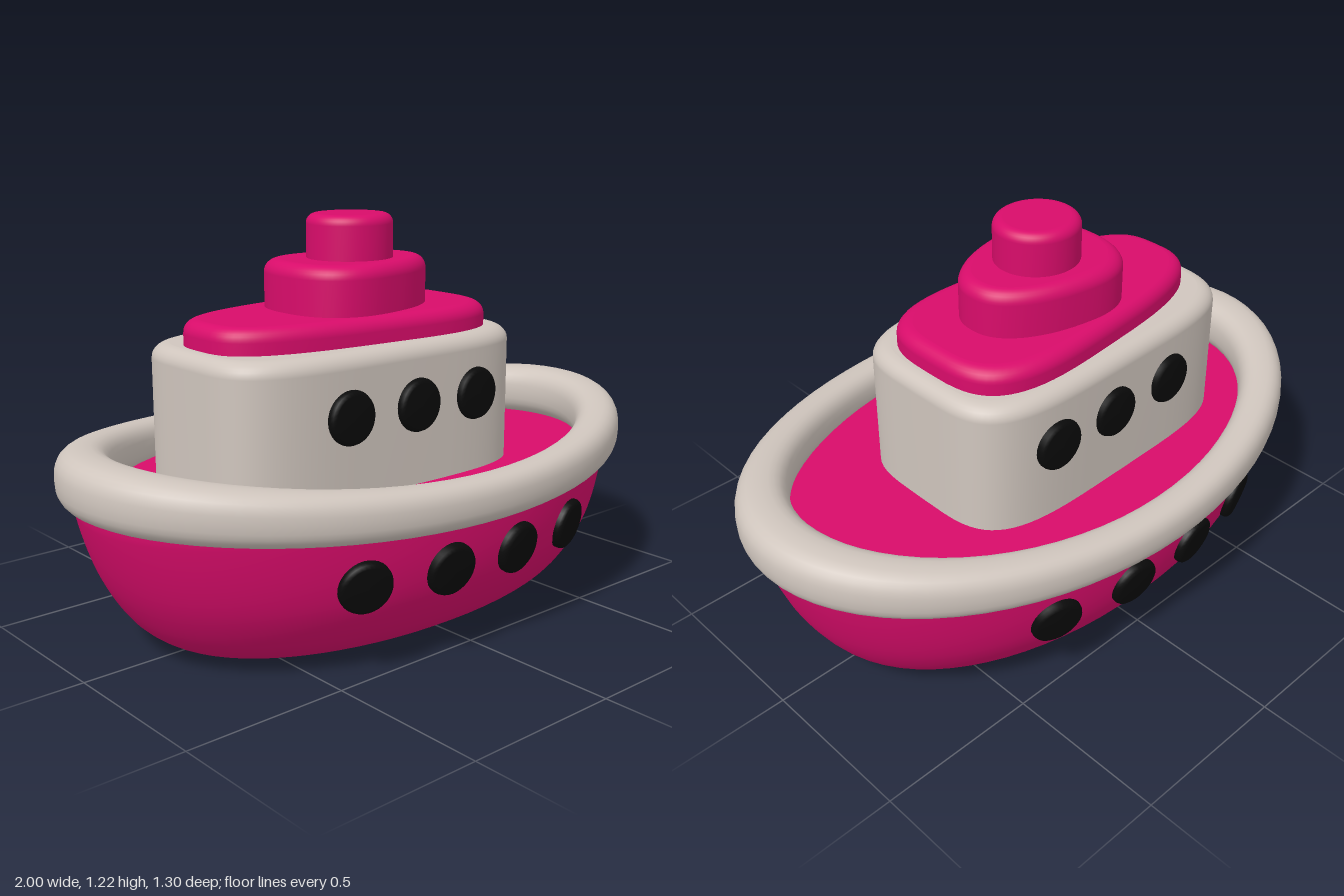
import * as THREE from 'three';

const SEG = 72;
const spow = (v, e) => Math.sign(v) * Math.abs(v) ** e;

// One horizontal superellipse outline; taper widens it towards +x
function outline(y, hx, hz, { cx = 0, n = 2, taper = 0 } = {}) {
  return Array.from({ length: SEG }, (_, i) => {
    const a = (i / SEG) * Math.PI * 2;
    const u = spow(Math.cos(a), 2 / n);
    return [cx + hx * u, y, hz * (1 + taper * u) * spow(Math.sin(a), 2 / n)];
  });
}

// Skin stacked outlines: capped at both ends, or joined back into a ring
function loft(rings, joined = false) {
  const pos = rings.flat(2), idx = [], R = rings.length;
  for (let r = 0; r < (joined ? R : R - 1); r++) {
    for (let i = 0; i < SEG; i++) {
      const j = (i + 1) % SEG, a = r * SEG, b = ((r + 1) % R) * SEG;
      idx.push(a + i, b + i, a + j, a + j, b + i, b + j);
    }
  }
  if (!joined) {
    [rings[0], rings[R - 1]].forEach((ring, top) => {
      const start = pos.length / 3;
      const mid = [0, 1, 2].map((k) => ring.reduce((s, p) => s + p[k], 0) / SEG);
      pos.push(...ring.flat(), ...mid);
      for (let i = 0; i < SEG; i++) {
        const p = start + i, q = start + ((i + 1) % SEG);
        idx.push(start + SEG, top ? q : p, top ? p : q);
      }
    });
  }
  const g = new THREE.BufferGeometry();
  g.setAttribute('position', new THREE.Float32BufferAttribute(pos, 3));
  g.setIndex(idx);
  g.computeVertexNormals();
  return g;
}

// Upright block with a rounded top edge of radius r
function tier(y0, y1, hx, hz, r, shape) {
  const rings = [outline(y0, hx, hz, shape)];
  for (let k = 0; k <= 7; k++) {
    const a = (k / 7) * Math.PI / 2, inset = r * (1 - Math.cos(a));
    rings.push(outline(y1 - r + r * Math.sin(a), hx - inset, hz - inset, shape));
  }
  return loft(rings);
}

export function createModel() {
  const boat = new THREE.Group();
  boat.name = 'toyBoat';
  const pink = new THREE.MeshStandardMaterial({ name: 'pink', color: 0xd80c6a });
  const cream = new THREE.MeshStandardMaterial({ name: 'cream', color: 0xcfc5bd });
  const black = new THREE.MeshStandardMaterial({ name: 'black', color: 0x0a0a0a });
  const add = (name, geometry, material) => {
    const mesh = new THREE.Mesh(geometry, material);
    mesh.name = name;
    boat.add(mesh);
    return mesh;
  };

  // Hull with flat deck: profile points hold (half length, height, half width)
  const profile = new THREE.CatmullRomCurve3([
    [0.58, 0, 0.29], [0.67, 0.012, 0.365], [0.745, 0.05, 0.435], [0.8, 0.1, 0.487],
    [0.865, 0.2, 0.547], [0.907, 0.3, 0.574], [0.942, 0.42, 0.586], [0.946, 0.45, 0.586],
  ].map((p) => new THREE.Vector3(...p)));
  add('hull', loft(profile.getPoints(28).map((p) => outline(p.y, p.x, p.z, { n: 2.1 }))), pink);

  // Thick rim that rises towards both ends
  const rim = [];
  for (let k = 0; k < 28; k++) {
    const v = (k / 28) * Math.PI * 2;
    const c = spow(Math.cos(v), 0.8), s = spow(Math.sin(v), 0.8);
    rim.push(outline(0, 0.915 + 0.085 * c, 0.59 + 0.06 * c).map(([x, , z], i) => {
      const lift = Math.cos((i / SEG) * Math.PI * 2) ** 2;
      return [x, 0.473 + 0.055 * lift + (0.067 + 0.018 * lift) * s, z];
    }));
  }
  add('rim', loft(rim, true), cream);

  // Cabin, roof and stepped funnel
  add('cabin', tier(0.42, 0.87, 0.543, 0.318, 0.045, { cx: -0.102, n: 4.2, taper: 0.05 }), cream);
  add('roof', tier(0.84, 0.945, 0.488, 0.25, 0.04, { cx: -0.102, n: 3.3, taper: 0.2 }), pink);
  add('funnelBase', tier(0.92, 1.09, 0.256, 0.197, 0.04, { cx: -0.034, n: 2.4, taper: -0.22 }), pink);
  add('funnel', tier(1.06, 1.222, 0.133, 0.128, 0.03, { cx: -0.038 }), pink);

  // Round portholes on both sides
  const disc = new THREE.LatheGeometry([
    [0.08, -0.03], [0.08, 0.005], [0.076, 0.014], [0.066, 0.02], [0, 0.022],
  ].map((p) => new THREE.Vector2(...p)), 32);
  const up = new THREE.Vector3(0, 1, 0);
  const porthole = (name, x, y, z, normal) => {
    const mesh = add(name, disc, black);
    mesh.position.set(x, y, z);
    mesh.quaternion.setFromUnitVectors(up, normal.normalize());
  };
  for (const side of [1, -1]) {
    for (const x of [-0.425, -0.155, 0.115, 0.39]) {
      const z = 0.573 * (1 - Math.abs(x / 0.9) ** 2.1) ** (1 / 2.1);
      porthole('hullPorthole', x, 0.282, side * z,
        new THREE.Vector3(x / 0.81, -0.2 * z / 0.33, side * z / 0.33));
    }
    for (const x of [-0.3, -0.05, 0.185]) {
      const u = (x + 0.102) / 0.543;
      const z = 0.318 * (1 + 0.05 * u) * (1 - Math.abs(u) ** 4.2) ** (1 / 4.2);
      porthole('cabinPorthole', x, 0.69, side * z, new THREE.Vector3(0.06 * u, 0, side));
    }
  }
  return boat;
}
